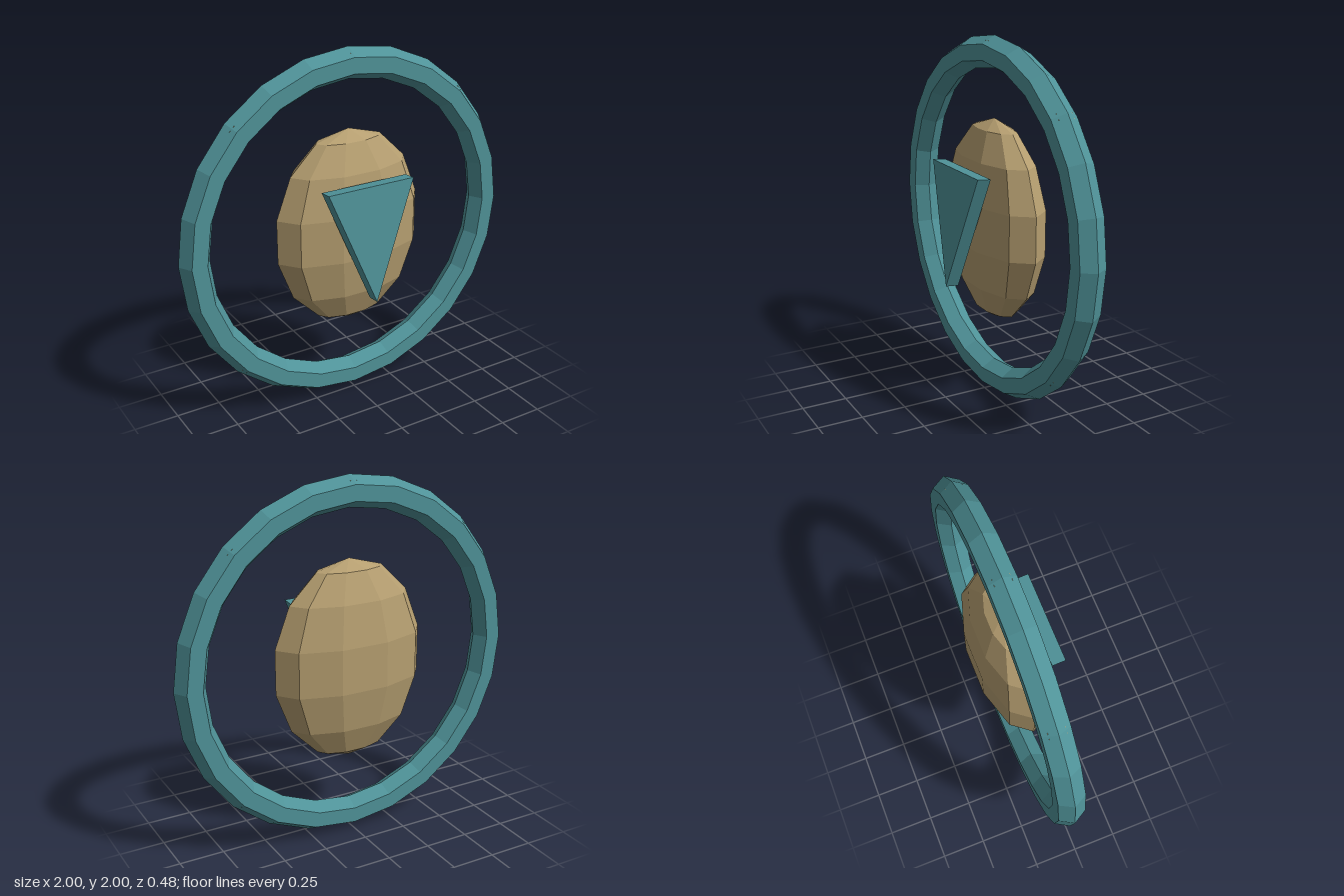
import * as THREE from 'three';

export function createModel() {
  const model = new THREE.Group();
  const teal = new THREE.MeshStandardMaterial({ color: 0x4f9298, flatShading: true });
  const tan = new THREE.MeshStandardMaterial({ color: 0xb59e70, flatShading: true });
  const centre = new THREE.Vector3(0, 1, -0.06);

  const add = (name, geometry, material, position) => {
    const mesh = new THREE.Mesh(geometry, material);
    mesh.name = name;
    mesh.position.copy(position);
    model.add(mesh);
    return mesh;
  };

  // Hexagonal-section hoop
  const ringRadius = 0.914;
  add('ring', new THREE.TorusGeometry(ringRadius, 0.086, 6, 24), teal, centre);

  // Studs sunk in the hoop, only their corners breaking the surface
  for (const degrees of [45, 90, 135, 225, 270, 315]) {
    const a = THREE.MathUtils.degToRad(degrees);
    const offset = new THREE.Vector3(Math.cos(a), Math.sin(a), 0).multiplyScalar(ringRadius);
    const stud = add('stud', new THREE.BoxGeometry(0.118, 0.04, 0.09), tan, offset.add(centre));
    stud.rotation.z = a;
  }

  // Flattened faceted oval
  const body = add('body', new THREE.SphereGeometry(1, 10, 7), tan, centre);
  body.scale.set(0.452, 0.563, 0.191);

  // Downward triangular plate, tilted with its tip forward
  const triangle = new THREE.Shape();
  triangle.moveTo(-0.26, 0.325).lineTo(0, -0.327).lineTo(0.26, 0.325).closePath();
  const plateGeometry = new THREE.ExtrudeGeometry(triangle, { depth: 0.075, bevelEnabled: false });
  plateGeometry.translate(0, 0, -0.0375);
  const plate = add('plate', plateGeometry, teal, new THREE.Vector3(0, 0.983, 0.172));
  plate.rotation.x = -0.09;

  return model;
}
